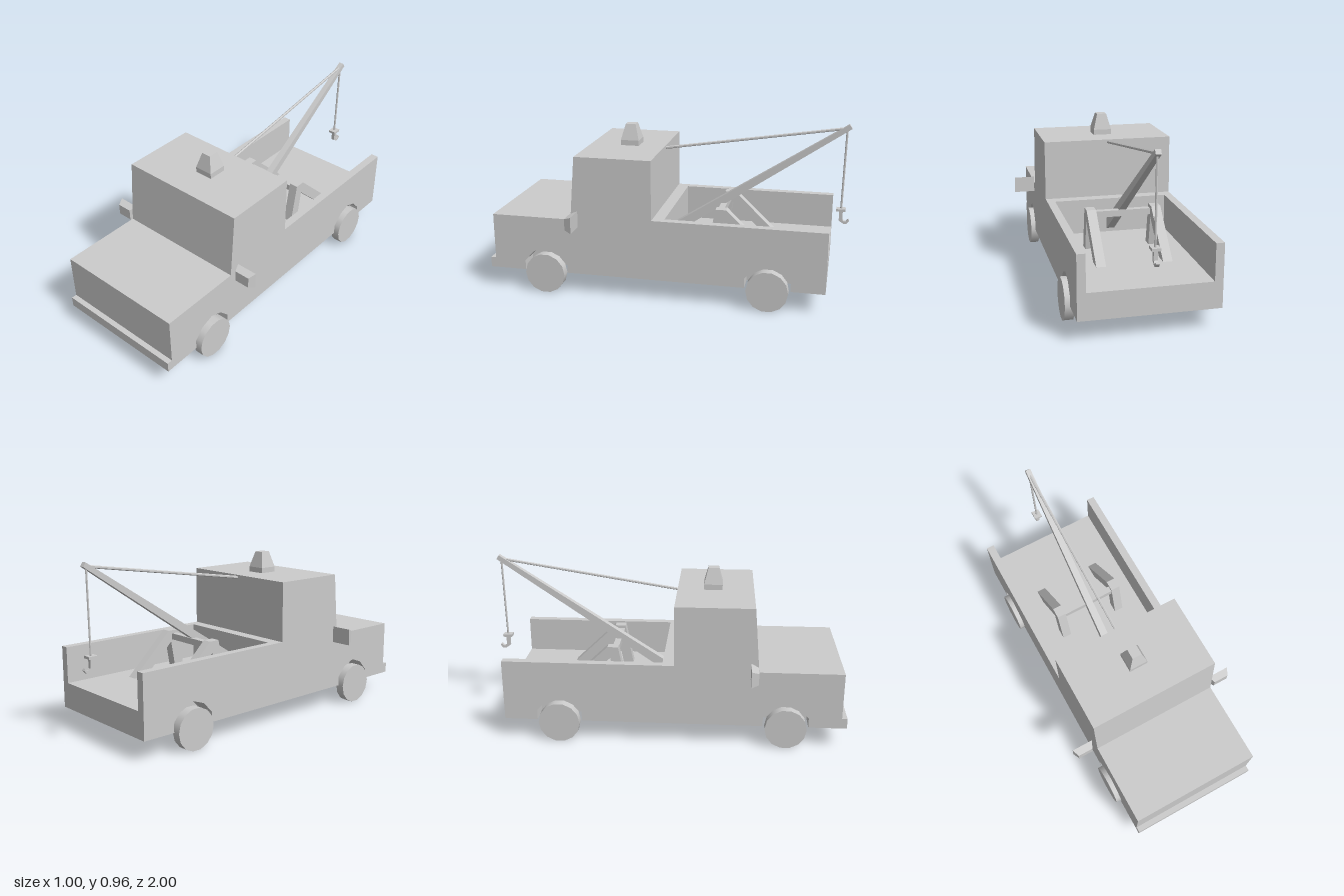
import * as THREE from 'three';

const material = new THREE.MeshStandardMaterial({ color: 0xcccccc, flatShading: true });
const smooth = new THREE.MeshStandardMaterial({ color: 0xcccccc });

// Side profile of [z, y] points, extruded from x0 to x1
function slab(points, x0, x1) {
  const shape = new THREE.Shape(points.map(([z, y]) => new THREE.Vector2(z, y)));
  const geo = new THREE.ExtrudeGeometry(shape, { depth: x1 - x0, bevelEnabled: false });
  return geo.rotateY(-Math.PI / 2).translate(x1, 0, 0);
}

// Box whose +z or +y end is narrowed
function taperedBox(w, h, d, axis, scaleA, scaleB) {
  const geo = new THREE.BoxGeometry(w, h, d);
  const p = geo.attributes.position;
  for (let i = 0; i < p.count; i++) {
    if (axis === 'y' && p.getY(i) > 0) {
      p.setX(i, p.getX(i) * scaleA);
      p.setZ(i, p.getZ(i) * scaleB);
    } else if (axis === 'z' && p.getZ(i) > 0) {
      p.setX(i, p.getX(i) * scaleA);
      p.setY(i, p.getY(i) * scaleB);
    }
  }
  geo.computeVertexNormals();
  return geo;
}

// Thin straight rod between two points
function rod(a, b, radius) {
  const dir = b.clone().sub(a);
  const geo = new THREE.CylinderGeometry(radius, radius, dir.length(), 6);
  geo.applyQuaternion(new THREE.Quaternion().setFromUnitVectors(
    new THREE.Vector3(0, 1, 0), dir.normalize()));
  const mid = a.clone().add(b).multiplyScalar(0.5);
  return geo.translate(mid.x, mid.y, mid.z);
}

export function createModel() {
  const truck = new THREE.Group();
  truck.name = 'towTruck';
  const add = (name, geo, parent = truck, mat = material) => {
    const mesh = new THREE.Mesh(geo, mat);
    mesh.name = name;
    parent.add(mesh);
    return mesh;
  };

  const axles = [-0.59, 0.665];
  const bottom = 0.12, floor = 0.265, rail = 0.465, wellX = 0.26, bedX = 0.325, sideX = 0.37;

  // Body profile pieces
  const front = [[1, bottom], [1, 0.178], [0.97, 0.178], [0.97, 0.44], [0.51, 0.44],
    [0.48, 0.8], [0.05, 0.8], [0.05, rail]];
  const openBed = [[-0.015, rail], [-0.015, floor], [-0.9, floor], [-0.9, bottom]];
  const wall = [[-0.9, rail], [-0.9, bottom]];
  const arch = [[-0.125, 0.12], [-0.125, 0.175], [-0.07, 0.235], [0, 0.26],
    [0.07, 0.235], [0.125, 0.175], [0.125, 0.12]];
  const wells = axles.flatMap((z) => arch.map(([dz, y]) => [z + dz, y]));

  // Body: plain core, notched flanks, and bed walls
  const body = new THREE.Group();
  body.name = 'body';
  truck.add(body);
  add('bodyCore', slab([...front, ...openBed], -wellX, wellX), body);
  for (const [side, s] of [['left', 1], ['right', -1]]) {
    const flank = (pts, a, b) => slab(pts, Math.min(a * s, b * s), Math.max(a * s, b * s));
    add(side + 'Flank', flank([...front, ...openBed, ...wells], wellX, bedX), body);
    add(side + 'BedWall', flank([...front, ...wall, ...wells], bedX, sideX), body);

    // Wheels
    for (const z of axles) {
      const wheel = new THREE.CylinderGeometry(0.115, 0.115, 0.05, 14).rotateZ(Math.PI / 2);
      add(side + (z > 0 ? 'FrontWheel' : 'RearWheel'),
        wheel.translate(s * 0.37, 0.115, z), truck, smooth);
    }

    // Wing mirror, narrower towards the front
    add(side + 'Mirror', taperedBox(0.12, 0.093, 0.04, 'z', 0.72, 0.68))
      .position.set(s * 0.441, 0.449, 0.485);

    // Crane support with a steep front leg and a sloping rear leg
    add(side + 'CraneSupport', flank([[-0.23, floor], [-0.275, 0.5], [-0.335, 0.5],
      [-0.58, floor], [-0.5, floor], [-0.32, 0.435], [-0.29, floor]], 0.154, 0.206));
  }
  add('craneCrossbar', new THREE.BoxGeometry(0.32, 0.035, 0.035)).position.set(0, 0.465, -0.295);

  // Roof beacon
  add('beaconBase', new THREE.BoxGeometry(0.105, 0.03, 0.105)).position.set(0, 0.815, 0.25);
  add('beacon', taperedBox(0.105, 0.09, 0.105, 'y', 0.52, 0.55)).position.set(0, 0.875, 0.25);

  // Boom, narrowing towards its tip
  const boom = slab([[0, 0.34], [-0.97, 0.967], [-0.985, 0.945], [0, 0.275]], -0.023, 0.023);
  const p = boom.attributes.position;
  for (let i = 0; i < p.count; i++) p.setX(i, p.getX(i) * (1 + 0.38 * p.getZ(i)));
  boom.computeVertexNormals();
  add('boom', boom);

  // Cables and hook
  const v = (y, z) => new THREE.Vector3(0, y, z);
  add('stayCable', rod(v(0.785, 0.055), v(0.945, -0.96), 0.008));
  add('hoistCable', rod(v(0.945, -0.96), v(0.48, -0.952), 0.006));
  add('hookBlock', new THREE.BoxGeometry(0.045, 0.014, 0.052)).position.set(0, 0.483, -0.951);
  add('hook', slab([[-0.942, 0.478], [-0.962, 0.478], [-0.962, 0.425], [-0.972, 0.416],
    [-0.982, 0.418], [-0.994, 0.43], [-1, 0.42], [-0.985, 0.402], [-0.968, 0.402],
    [-0.942, 0.42]], -0.01, 0.01));

  return truck;
}
